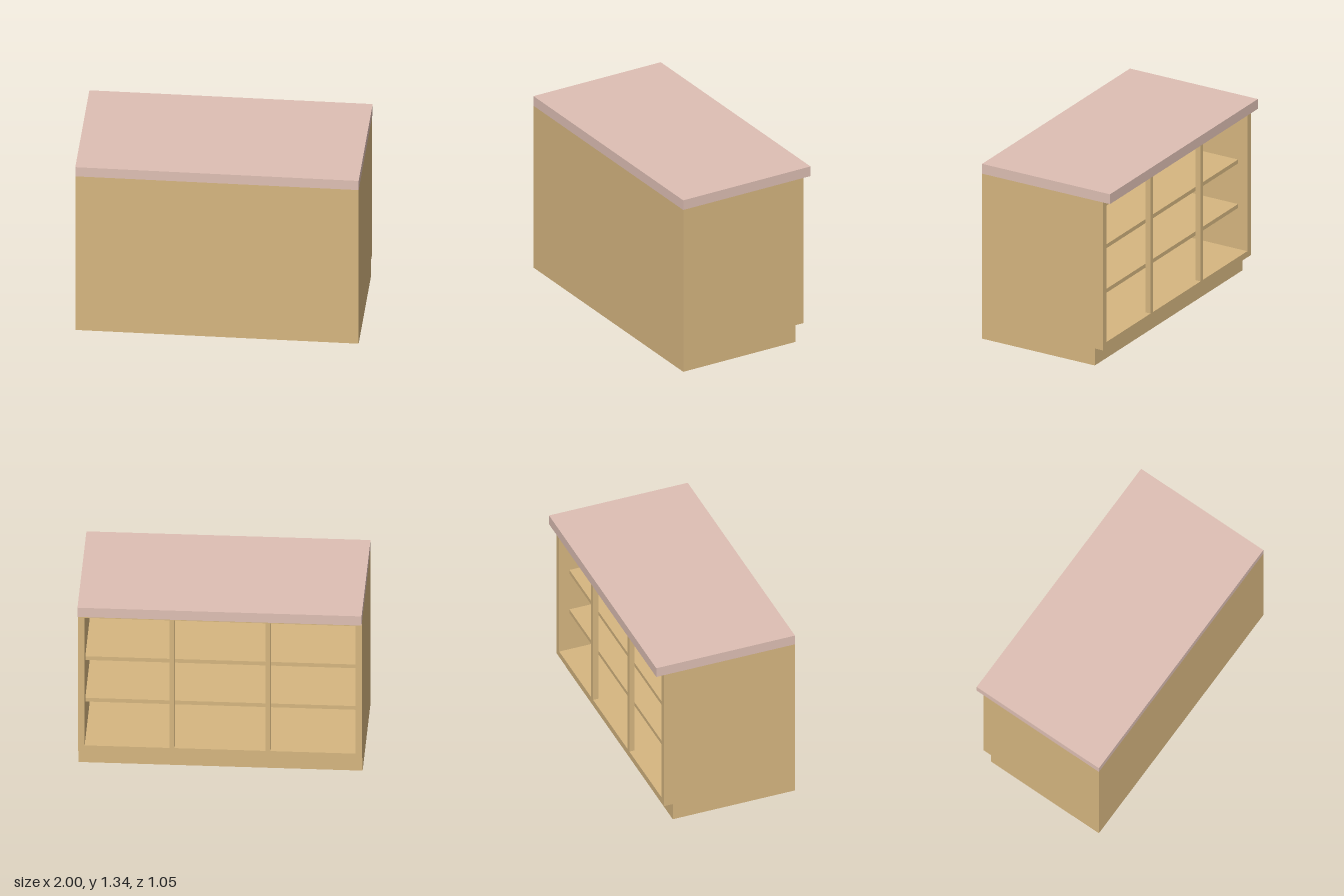
import * as THREE from 'three';

const wood = new THREE.MeshStandardMaterial({ color: 0xd6b680 });
const stone = new THREE.MeshStandardMaterial({ color: 0xdebfb4 });

// Box given by its extents on each axis
function slab(name, [x0, x1], [y0, y1], [z0, z1], material = wood) {
  const mesh = new THREE.Mesh(new THREE.BoxGeometry(x1 - x0, y1 - y0, z1 - z0), material);
  mesh.position.set((x0 + x1) / 2, (y0 + y1) / 2, (z0 + z1) / 2);
  mesh.name = name;
  return mesh;
}

export function createModel() {
  const group = new THREE.Group();
  group.name = 'cabinet';

  const W = 1, FRONT = 0.527, OPEN = -0.467, KICK = -0.4;
  const T = 0.047, KICK_H = 0.13, TOP = 1.26, HEIGHT = 1.335;
  const floorY = KICK_H + T, ceilY = TOP - 0.04;
  const inner = W - T, panelZ = FRONT - 0.04;

  // Recessed plinth and overhanging worktop
  group.add(slab('plinth', [-W, W], [0, KICK_H], [KICK, FRONT]));
  group.add(slab('worktop', [-W, W], [TOP, HEIGHT], [-0.525, FRONT], stone));

  // Carcass, open on the -z side
  group.add(slab('floorPanel', [-W, W], [KICK_H, floorY], [OPEN, FRONT]));
  group.add(slab('ceilingPanel', [-W, W], [ceilY, TOP], [OPEN, FRONT]));
  group.add(slab('leftSide', [inner, W], [floorY, ceilY], [OPEN, FRONT]));
  group.add(slab('rightSide', [-W, -inner], [floorY, ceilY], [OPEN, FRONT]));
  group.add(slab('frontPanel', [-inner, inner], [floorY, ceilY], [panelZ, FRONT]));

  // Shelves set back behind the uprights
  for (const top of [0.52, 0.86]) {
    group.add(slab('shelf', [-inner, inner], [top - 0.03, top], [-0.39, panelZ]));
  }

  // Slim uprights dividing the opening into three
  for (const x of [-0.338, 0.338]) {
    group.add(slab('upright', [x - 0.018, x + 0.018], [floorY, ceilY], [OPEN, OPEN + 0.04]));
  }

  return group;
}
